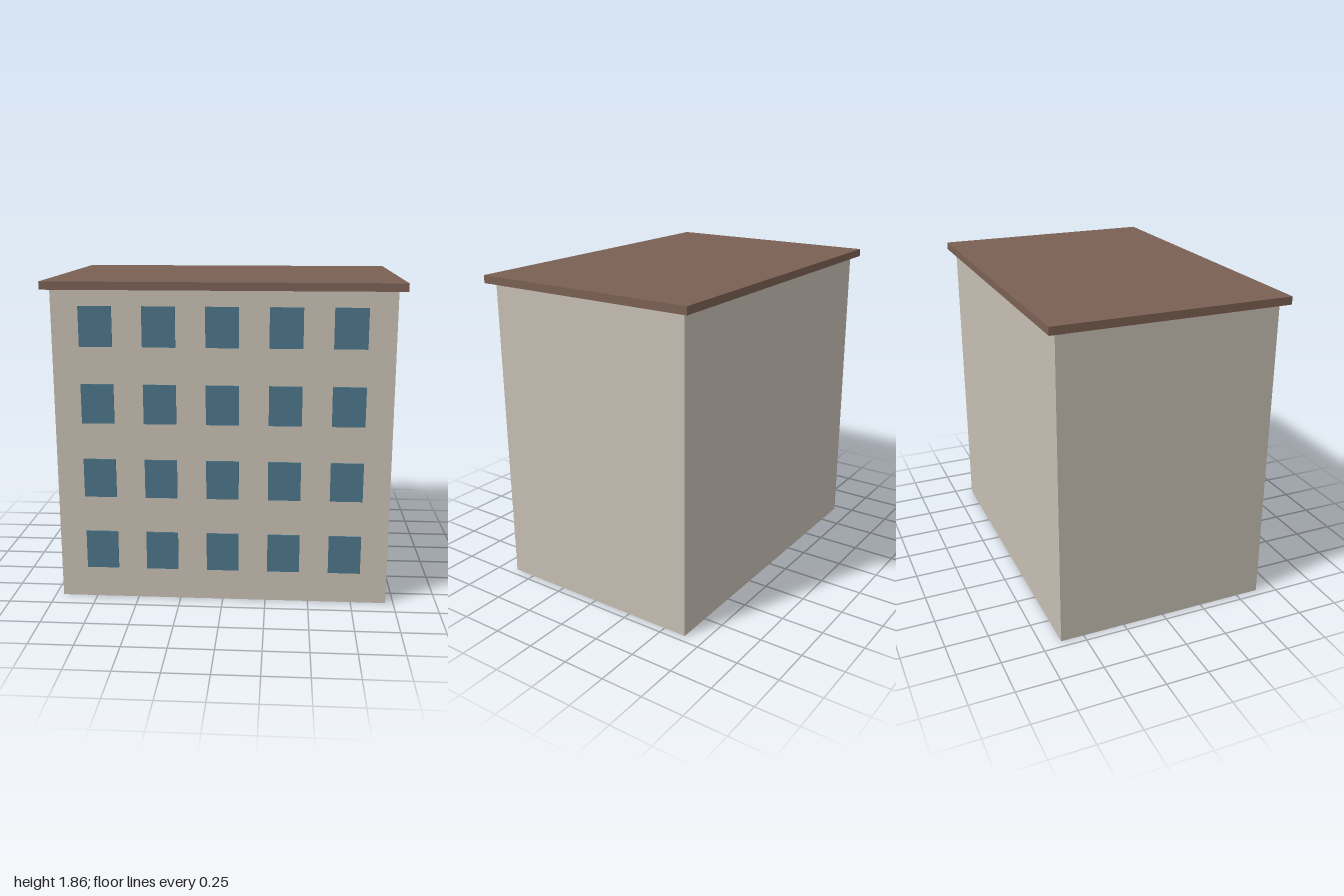
import * as THREE from 'three';

export function createModel() {
  const model = new THREE.Group();
  model.name = 'apartmentBlock';

  const material = (name, color) => {
    const m = new THREE.MeshStandardMaterial({ color });
    m.name = name;
    return m;
  };
  const wall = material('warm grey wall', 0xc6beb2);
  const roofBrown = material('brown roof', 0x7b6053);
  const glass = material('blue glass', 0x4c7589);

  const addBox = (name, size, position, mat, parent = model) => {
    const mesh = new THREE.Mesh(new THREE.BoxGeometry(...size), mat);
    mesh.name = name;
    mesh.position.set(...position);
    parent.add(mesh);
    return mesh;
  };

  // Main block and overhanging flat roof
  const wallHeight = 1.818, wallDepth = 1.273, roofHeight = 0.045;
  addBox('walls', [1.909, wallHeight, wallDepth], [0, wallHeight / 2, 0], wall);
  addBox('roof', [2, roofHeight, 1.364], [0, wallHeight + roofHeight / 2, 0], roofBrown);

  // Front windows: four floors of five thin panes
  const windows = new THREE.Group();
  windows.name = 'windows';
  model.add(windows);
  const paneDepth = 0.009;
  for (let floor = 0; floor < 4; floor++) {
    for (let column = 0; column < 5; column++) {
      addBox(
        `window${floor + 1}_${column + 1}`,
        [0.186, 0.227, paneDepth],
        [(column - 2) * 0.3535, 0.298 + floor * 0.4385, (wallDepth + paneDepth) / 2],
        glass,
        windows
      );
    }
  }

  return model;
}
